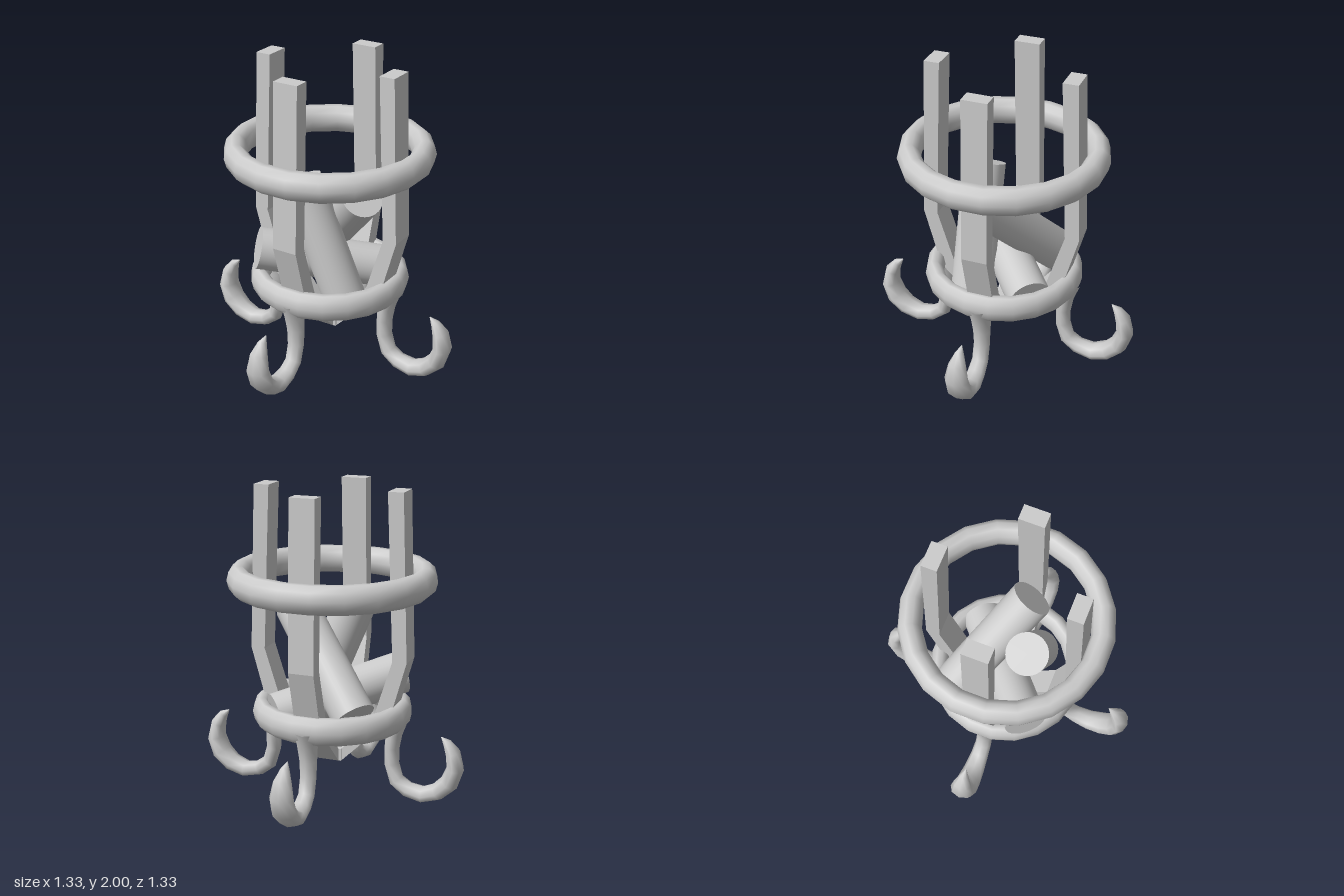
import * as THREE from 'three';

const material = new THREE.MeshStandardMaterial({ color: 0xcccccc });

function part(name, geometry) {
  const mesh = new THREE.Mesh(geometry, material);
  mesh.name = name;
  return mesh;
}

// Horizontal hoop with a tube that is taller than it is wide
function hoop(name, radius, tube, halfHeight, y) {
  const g = new THREE.TorusGeometry(radius, tube, 10, 20);
  g.scale(1, 1, halfHeight / (tube * Math.sin(Math.PI * 0.4)));
  g.rotateX(-Math.PI / 2);
  g.translate(-0.005, y, 0);
  return part(name, g);
}

// Bent flat bar: side profile (radius, height) extruded to its width
function strapGeometry(width) {
  const profile = [
    [0.08, 0.246], [0.1, 0.246], [0.415, 0.55], [0.525, 0.94], [0.49, 2],
    [0.39, 2], [0.432, 0.94], [0.32, 0.59], [0.1, 0.326], [0.08, 0.326],
  ].map(([r, y]) => new THREE.Vector2(r, y));
  const g = new THREE.ExtrudeGeometry(new THREE.Shape(profile), { depth: width, bevelEnabled: false });
  g.translate(0, 0, -width / 2);
  return g;
}

// Curled foot: an oval section swept along a hook, ending in a point
function hookGeometry() {
  // radius, height, half thickness, half width
  const stations = [
    [0.46, 0.56, 0.06, 0.075], [0.425, 0.45, 0.055, 0.07], [0.412, 0.35, 0.05, 0.06],
    [0.412, 0.24, 0.05, 0.055], [0.445, 0.13, 0.05, 0.055], [0.52, 0.075, 0.05, 0.06],
    [0.62, 0.055, 0.052, 0.07], [0.72, 0.09, 0.056, 0.08], [0.795, 0.16, 0.06, 0.085],
    [0.832, 0.26, 0.056, 0.08], [0.815, 0.36, 0.05, 0.06], [0.775, 0.425, 0.03, 0.03],
    [0.735, 0.46, 0.002, 0.002],
  ];
  const sides = 8, positions = [], index = [];
  stations.forEach(([r, y, thick, wide], i) => {
    const a = stations[Math.max(i - 1, 0)];
    const b = stations[Math.min(i + 1, stations.length - 1)];
    const t = new THREE.Vector2(b[0] - a[0], b[1] - a[1]).normalize();
    for (let j = 0; j < sides; j++) {
      const angle = (j / sides) * Math.PI * 2;
      const c = Math.cos(angle) * thick;
      positions.push(r - t.y * c, y + t.x * c, Math.sin(angle) * wide);
      if (i === stations.length - 1) continue;
      const p = i * sides + j, q = i * sides + ((j + 1) % sides);
      index.push(p, q, p + sides, q, q + sides, p + sides);
    }
  });
  const g = new THREE.BufferGeometry();
  g.setAttribute('position', new THREE.Float32BufferAttribute(positions, 3));
  g.setIndex(index);
  g.computeVertexNormals();
  return g;
}

// Cylinder between two end centres
function log(name, from, to, radius) {
  const a = new THREE.Vector3(...from), b = new THREE.Vector3(...to);
  const axis = b.clone().sub(a);
  const mesh = part(name, new THREE.CylinderGeometry(radius, radius, axis.length(), 32));
  mesh.position.copy(a).add(b).multiplyScalar(0.5);
  mesh.quaternion.setFromUnitVectors(new THREE.Vector3(0, 1, 0), axis.normalize());
  return mesh;
}

export function createModel() {
  const model = new THREE.Group();
  model.name = 'fireBasket';

  // Hoops
  model.add(hoop('upperHoop', 0.59, 0.075, 0.0875, 1.423));
  model.add(hoop('lowerHoop', 0.455, 0.06, 0.085, 0.56));

  // Four straps and four feet on the diagonals
  const strap = strapGeometry(0.165);
  const hook = hookGeometry();
  for (let i = 0; i < 4; i++) {
    const corner = new THREE.Group();
    corner.name = 'corner' + (i + 1);
    corner.rotation.y = Math.PI / 4 + (i * Math.PI) / 2;
    corner.add(part('strap', strap), part('hookFoot', hook));
    model.add(corner);
  }

  // Block where the straps meet
  const hub = part('hub', new THREE.BoxGeometry(0.198, 0.08, 0.198));
  hub.position.y = 0.286;
  hub.rotation.y = Math.PI / 4;
  model.add(hub);

  // Logs
  model.add(log('leaningLog', [0.016, 0.62, -0.372], [0.146, 1.2, 0.238], 0.137));
  model.add(log('steepLog', [0.06, 0.44, 0.265], [-0.204, 1.27, 0.047], 0.135));
  model.add(log('lyingLog', [0.39, 0.57, 0], [-0.46, 0.765, -0.07], 0.138));

  return model;
}
